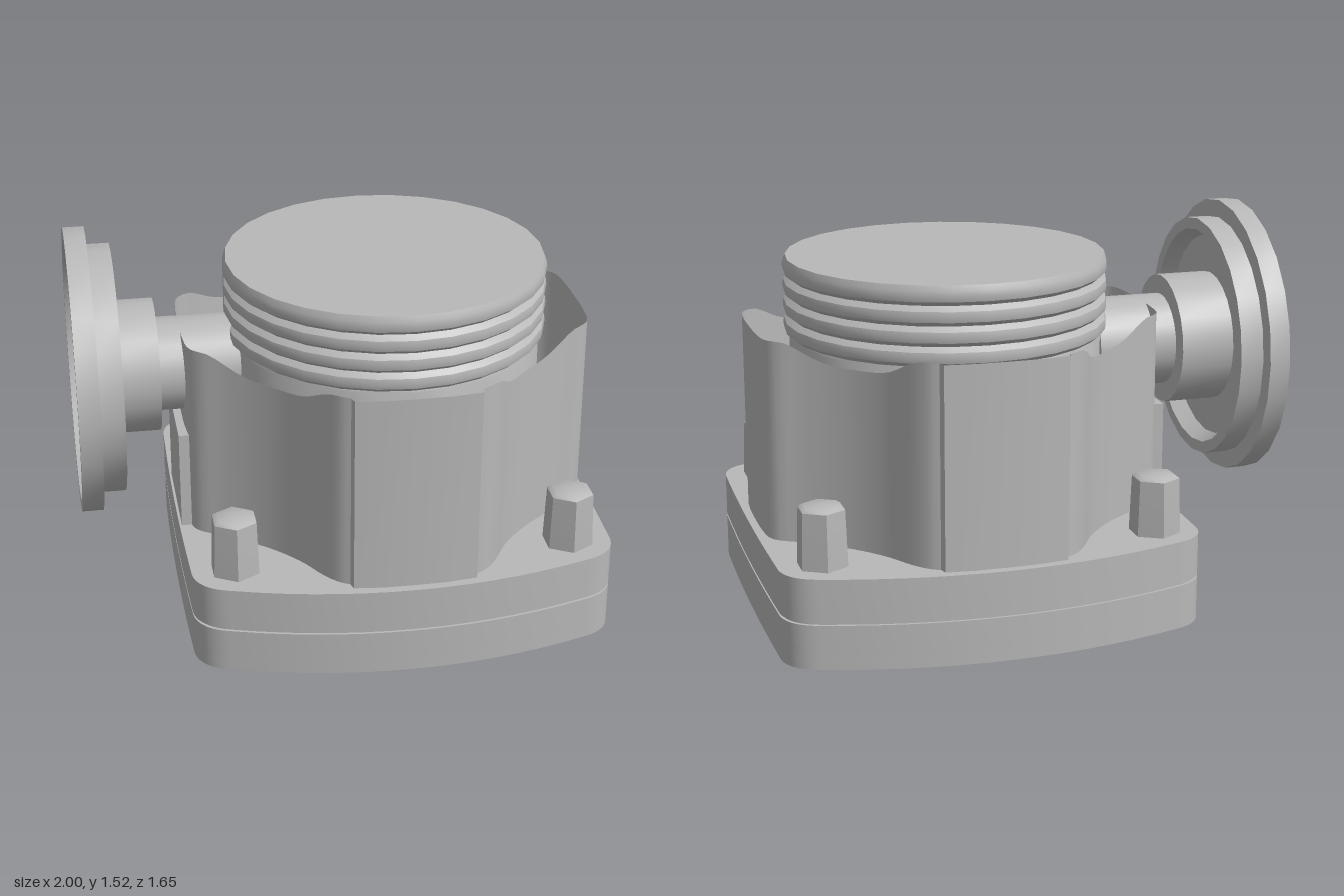
import * as THREE from 'three';
import { toCreasedNormals } from 'three/addons/utils/BufferGeometryUtils.js';

const CX = 0.185; // housing axis

export function createModel() {
  const model = new THREE.Group();
  const grey = new THREE.MeshStandardMaterial({ color: 0xb8b8b8 });
  grey.name = 'castGrey';
  grey.side = THREE.DoubleSide;

  const add = (name, geometry, x = CX, y = 0, z = 0) => {
    const mesh = new THREE.Mesh(toCreasedNormals(geometry, 0.6), grey);
    mesh.name = name;
    mesh.position.set(x, y, z);
    model.add(mesh);
    return mesh;
  };
  const lathe = (points, segments) =>
    new THREE.LatheGeometry(points.map(([r, y]) => new THREE.Vector2(r, y)), segments);

  // Extrudes a shape upward from y0 to y1
  const slab = (shape, y0, y1) => {
    const g = new THREE.ExtrudeGeometry(shape, { depth: y1 - y0, bevelEnabled: false, curveSegments: 14 });
    g.rotateX(-Math.PI / 2);
    g.translate(0, y0, 0);
    return g;
  };

  // Rounded square outline with bowed front and back
  const plateShape = (holeRadius, scale = 1) => {
    const s = new THREE.Shape();
    const p = (v) => v * scale;
    s.moveTo(p(0.805), p(-0.58));
    s.quadraticCurveTo(p(0.825), 0, p(0.805), p(0.58));
    s.quadraticCurveTo(p(0.795), p(0.685), p(0.68), p(0.717));
    s.quadraticCurveTo(0, p(0.933), p(-0.68), p(0.717));
    s.quadraticCurveTo(p(-0.795), p(0.685), p(-0.805), p(0.58));
    s.quadraticCurveTo(p(-0.825), 0, p(-0.805), p(-0.58));
    s.quadraticCurveTo(p(-0.795), p(-0.685), p(-0.68), p(-0.717));
    s.quadraticCurveTo(0, p(-0.933), p(0.68), p(-0.717));
    s.quadraticCurveTo(p(0.795), p(-0.685), p(0.805), p(-0.58));
    const hole = new THREE.Path();
    hole.absarc(0, 0, holeRadius, 0, Math.PI * 2, true);
    s.holes.push(hole);
    return s;
  };

  // Curved bar outline centred on a given direction
  const arcBar = (Type, angle, inner, outer, half) => {
    const s = new Type();
    s.absarc(0, 0, outer, angle - half, angle + half, false);
    s.absarc(0, 0, inner, angle + half, angle - half, true);
    s.closePath();
    return s;
  };

  const boltSpots = [];
  for (const x of [-0.64, 0.64]) for (const z of [-0.565, 0.565]) boltSpots.push([x, z]);

  // Base plates, with bolt recesses and slots on the underside
  const underside = plateShape(0.68);
  for (const [x, z] of boltSpots) {
    const hole = new THREE.Path();
    hole.absarc(x, z, 0.1, 0, Math.PI * 2, true);
    underside.holes.push(hole);
  }
  for (const a of [Math.PI / 2, -Math.PI / 2]) {
    underside.holes.push(arcBar(THREE.Path, a, 0.725, 0.765, 0.42));
  }
  add('lowerPlateUnderside', slab(underside, 0.03, 0.08));
  add('lowerPlate', slab(plateShape(0.61), 0.08, 0.2));
  add('gasket', slab(plateShape(0.54, 0.988), 0.2, 0.21));
  add('upperPlate', slab(plateShape(0.54), 0.21, 0.375));

  // Locating ribs below the left and right edges
  for (const a of [0, Math.PI]) {
    add('locatingRib', slab(arcBar(THREE.Shape, a, 0.725, 0.79, 0.41), 0, 0.032));
  }

  // Hexagonal bolts, with a socket at the lower end
  for (const [x, z] of boltSpots) {
    add('bolt', lathe([[0, 0.11], [0.055, 0.11], [0.06, 0.025], [0.088, 0.025],
      [0.098, 0.375], [0.09, 0.59], [0.07, 0.602], [0, 0.605]], 6), CX + x, 0, z);
  }

  // Thin housing wall: smooth quarter outline mirrored round, with scalloped rim
  const flank = new THREE.SplineCurve([[0.78, 0], [0.777, 0.14], [0.755, 0.25], [0.65, 0.32],
    [0.56, 0.385], [0.47, 0.465], [0.39, 0.56], [0.33, 0.66], [0.28, 0.72], [0.24, 0.745],
  ].map(([x, z]) => new THREE.Vector2(x, z))).getPoints(32).map((p) => [p.x, p.y]);
  const quarter = [...flank, [0.232, 0.775], [0.12, 0.788], [0, 0.79]];
  const outline = [
    ...quarter,
    ...quarter.slice(0, -1).reverse().map(([x, z]) => [-x, z]),
    ...quarter.slice(1).map(([x, z]) => [-x, -z]),
    ...quarter.slice(1, -1).reverse().map(([x, z]) => [x, -z]),
  ];
  const position = [], index = [];
  outline.forEach(([x, z], i) => {
    const rim = 1.06 + 0.08 * THREE.MathUtils.smoothstep(Math.hypot(x, z), 0.655, 0.775);
    position.push(x, 0.375, z, x, rim, z);
    const a = i * 2, b = ((i + 1) % outline.length) * 2;
    index.push(a, a + 1, b, b, a + 1, b + 1);
  });
  const wall = new THREE.BufferGeometry();
  wall.setAttribute('position', new THREE.Float32BufferAttribute(position, 3));
  wall.setIndex(index);
  add('housing', wall, 0.19);

  // Roof of the chamber above the base opening
  const roof = new THREE.CircleGeometry(0.545, 36);
  roof.rotateX(Math.PI / 2);
  add('chamberRoof', roof, CX, 0.365);

  // Segment-shaped ledge in the chamber, carrying a small valve seat
  const ledge = new THREE.Shape();
  const ledgeAngle = Math.PI + 0.5;
  ledge.absarc(0, 0, 0.545, ledgeAngle - 0.9, ledgeAngle + 0.9, false);
  ledge.closePath();
  add('valveLedge', slab(ledge, 0.2, 0.23));
  add('valveSeat', lathe([[0.05, 0.2], [0.05, 0.16], [0.08, 0.16], [0.08, 0.2]], 14),
    CX - 0.38, 0, 0.21);

  // Cylinder body with ribbed round cap
  const cap = [[0.6, 0.375], [0.6, 1.07]];
  for (const y of [1.115, 1.19, 1.265, 1.34]) {
    cap.push([0.597, y - 0.037], [0.618, y - 0.02], [0.622, y], [0.618, y + 0.02]);
  }
  cap.push([0.61, 1.38], [0, 1.38]);
  add('ribbedCap', lathe(cap, 28), 0.207);

  // Side pipe with collar and open flange
  const pipe = lathe([[0.18, 0.37], [0.18, 0.68], [0.255, 0.68], [0.255, 0.89], [0.4, 0.89],
    [0.43, 0.83], [0.475, 0.83], [0.475, 0.92], [0.543, 0.92], [0.543, 1], [0.5, 1],
    [0.49, 0.94], [0.32, 0.94], [0.24, 0.9], [0.22, 0.74], [0.13, 0.72], [0.13, 0.4], [0, 0.4]], 24);
  pipe.rotateZ(Math.PI / 2);
  add('sidePipe', pipe, 0, 0.977, 0);
  add('pipeSupport', new THREE.BoxGeometry(0.16, 0.39, 0.42), -0.54, 0.57, 0);

  return model;
}
